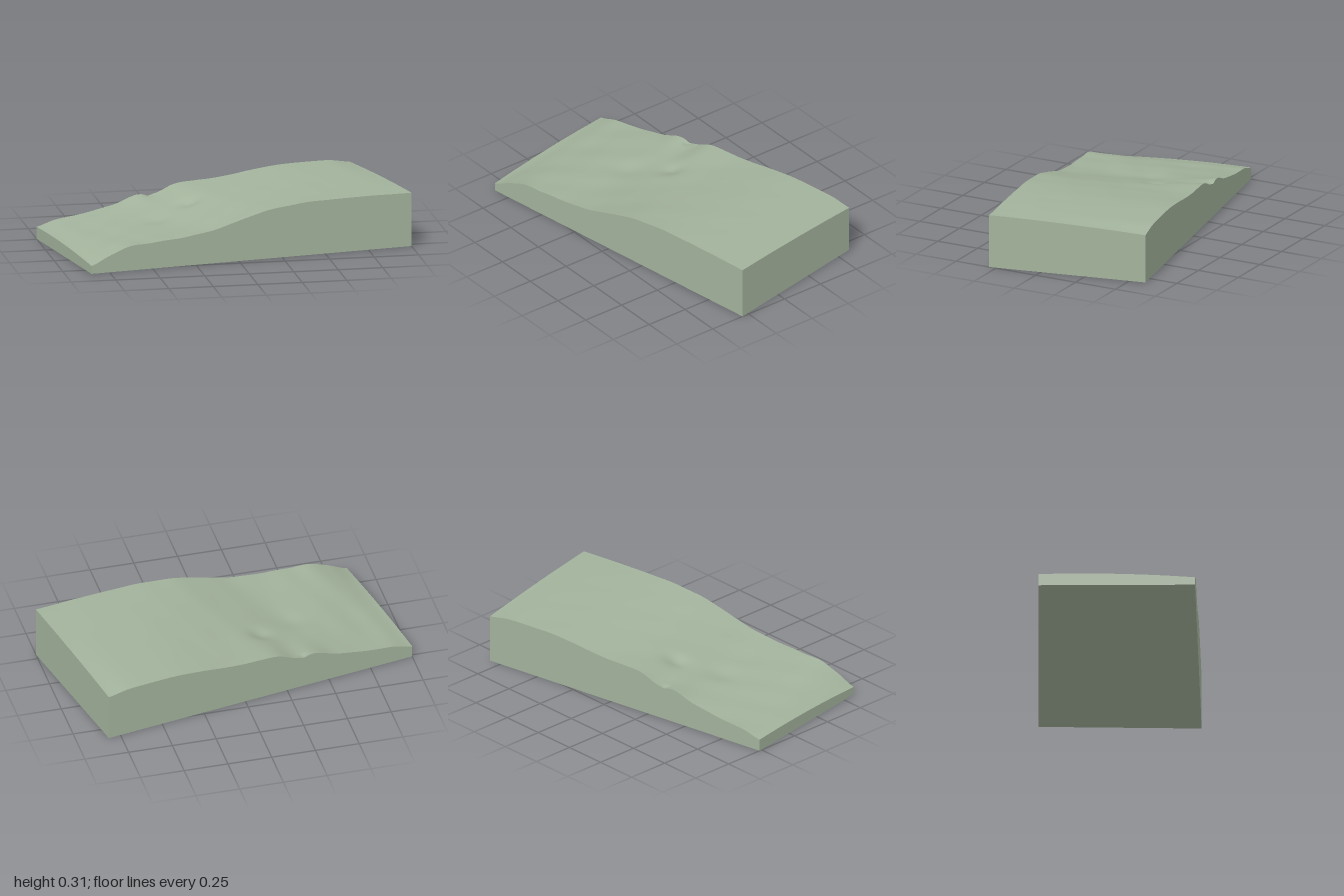
import * as THREE from 'three';

// Ground heights at even steps from the left end to the right end
const BACK = [.068, .10, .113, .135, .155, .195, .197, .24, .25, .252, .265, .28, .292, .296, .296, .293, .275];
const MIDDLE = [.068, .095, .115, .132, .145, .154, .178, .21, .235, .255, .272, .286, .296, .30, .302, .301, .295];
const FRONT = [.045, .10, .138, .145, .155, .168, .185, .215, .25, .278, .292, .302, .304, .306, .306, .304, .303];

// Dents: x, z, radius, depth
const DENTS = [[-.17, -.12, .06, .02], [-.4, .03, .08, .01], [-.35, -.37, .02, .012]];

// Corners of the footprint as [x, z]
const BACK_LEFT = [-1, -.265], BACK_RIGHT = [.82, -.59];
const FRONT_LEFT = [-.855, .587], FRONT_RIGHT = [1, .292];

// Smooth curve through an evenly spaced height list
function sample(list, s) {
  const f = s * (list.length - 1);
  const i = Math.min(Math.floor(f), list.length - 2), k = f - i;
  const b = list[i], c = list[i + 1];
  const a = list[Math.max(i - 1, 0)], d = list[Math.min(i + 2, list.length - 1)];
  return b + .5 * k * (c - a + k * (2 * a - 5 * b + 4 * c - d + k * (3 * (b - c) + d - a)));
}

// Point on the ground: s runs left to right, t runs back to front
function ground(s, t) {
  const mix = (i) => THREE.MathUtils.lerp(
    THREE.MathUtils.lerp(BACK_LEFT[i], BACK_RIGHT[i], s),
    THREE.MathUtils.lerp(FRONT_LEFT[i], FRONT_RIGHT[i], s), t);
  const x = mix(0), z = mix(1);
  let y = sample(BACK, s) * (1 - t) * (1 - 2 * t)
    + sample(MIDDLE, s) * 4 * t * (1 - t)
    + sample(FRONT, s) * t * (2 * t - 1);
  for (const [dx, dz, r, depth] of DENTS) {
    y -= depth * Math.exp(-((x - dx) ** 2 + (z - dz) ** 2) / (r * r));
  }
  // Slight unevenness on the slope, fading out on the plateau
  y += .003 * (1 - s) * Math.sin(23 * x + 5 * z) * Math.sin(17 * z - 6 * x) * Math.min(1, s * 10);
  return new THREE.Vector3(x, y, z);
}

export function createModel() {
  const group = new THREE.Group();
  const earth = new THREE.MeshStandardMaterial({ color: 0xa2b29b });
  earth.name = 'sage green';

  // Bends a plane grid by a rule of u (rightward) and v (upward)
  function patch(name, nu, nv, rule) {
    const geometry = new THREE.PlaneGeometry(1, 1, nu, nv);
    const p = geometry.attributes.position;
    for (let i = 0; i < p.count; i++) {
      const q = rule(p.getX(i) + .5, p.getY(i) + .5);
      p.setXYZ(i, q.x, q.y, q.z);
    }
    geometry.computeVertexNormals();
    const mesh = new THREE.Mesh(geometry, earth);
    mesh.name = name;
    group.add(mesh);
  }

  // Rolling surface and flat underside
  patch('terrainTop', 128, 64, (u, v) => ground(u, 1 - v));
  patch('underside', 1, 1, (u, v) => ground(u, v).setY(0));

  // Cut walls, from the base up to the ground edge
  const wall = (name, n, edge) => patch(name, n, 1, (u, v) => {
    const q = edge(u);
    return q.setY(q.y * v);
  });
  wall('frontWall', 128, (u) => ground(u, 1));
  wall('rightEndWall', 64, (u) => ground(1, 1 - u));
  wall('backWall', 128, (u) => ground(1 - u, 0));
  wall('leftEndWall', 64, (u) => ground(0, u));

  return group;
}
